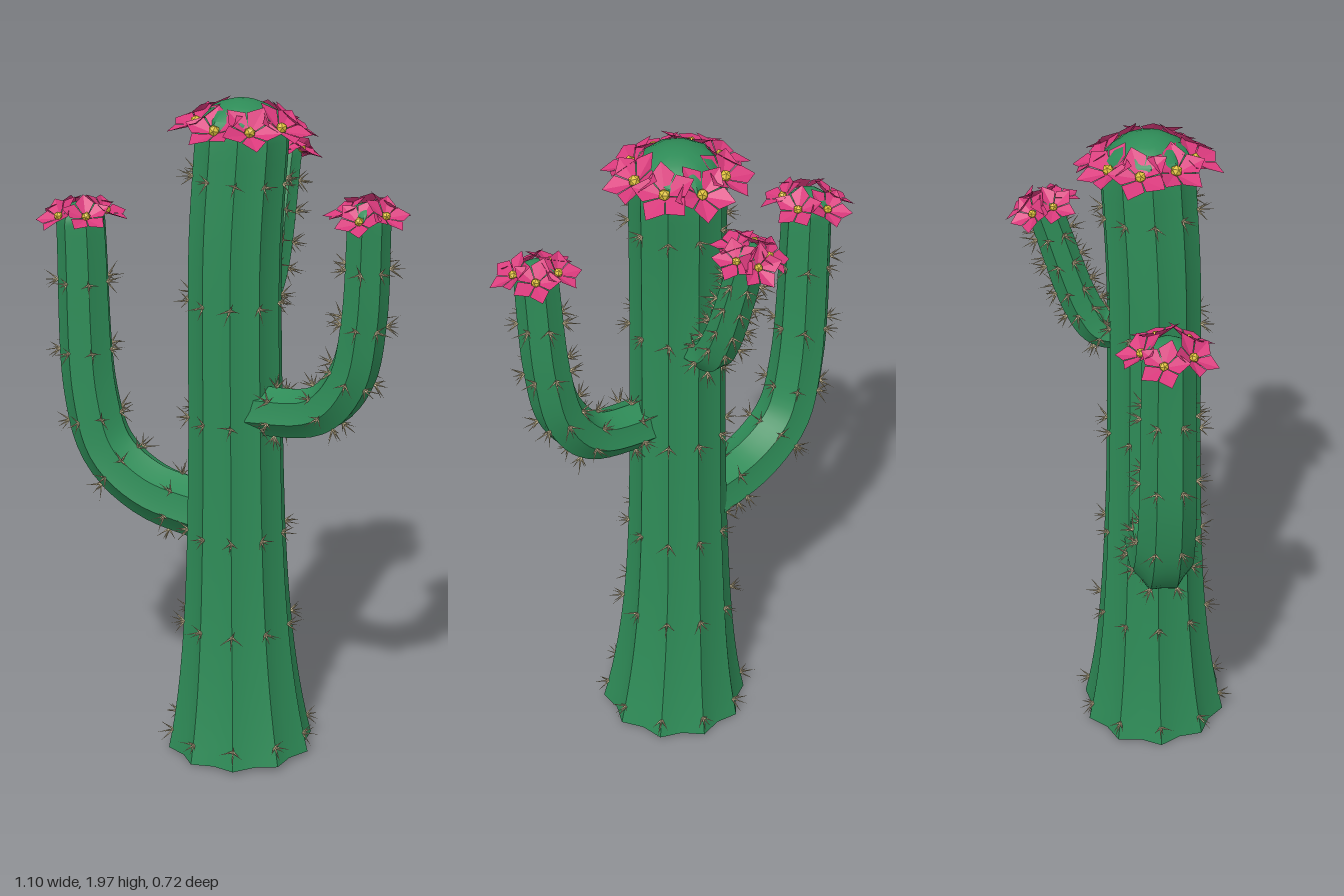
import * as THREE from 'three';
import { mergeGeometries, toCreasedNormals } from 'three/addons/utils/BufferGeometryUtils.js';

const V = (x, y, z) => new THREE.Vector3(x, y, z);

const mat = (name, color, extra = {}) => {
  const m = new THREE.MeshStandardMaterial({ color, ...extra });
  m.name = name;
  return m;
};

// Small seeded random generator
let seed = 7;
const rand = () => (seed = (seed * 16807) % 2147483647) / 2147483647;
const jitter = (s) => (rand() - 0.5) * 2 * s;

// Frames carried along a curve without twisting
function makeFrames(curve, steps, ref) {
  const frames = [];
  let N = ref;
  for (let i = 0; i <= steps; i++) {
    const T = curve.getTangentAt(i / steps);
    N = N.clone().addScaledVector(T, -N.dot(T)).normalize();
    frames.push({ p: curve.getPointAt(i / steps), T, N, B: T.clone().cross(N) });
  }
  return frames;
}

const radial = (f, a) => f.N.clone().multiplyScalar(Math.cos(a)).addScaledVector(f.B, Math.sin(a));

// Ribbed stem with a star cross-section, closed by a smooth dome
function stemGeometry(frames, radius, ribs, depth, domeHeight) {
  const sides = ribs * 2, pos = [], idx = [];
  const addRing = (f, p, r, d) => {
    for (let j = 0; j < sides; j++) {
      const q = radial(f, (j / sides) * Math.PI * 2).multiplyScalar(r * (j % 2 ? 1 - d : 1)).add(p);
      pos.push(q.x, q.y, q.z);
    }
  };
  const last = frames.length - 1, end = frames[last], domeSteps = 6;
  frames.forEach((f, i) => addRing(f, f.p, radius(i / last), depth));
  for (let k = 1; k <= domeSteps; k++) {
    const a = (k / domeSteps) * Math.PI / 2;
    const p = end.p.clone().addScaledVector(end.T, Math.sin(a) * domeHeight);
    addRing(end, p, k === domeSteps ? 0 : Math.cos(a) * radius(1), depth * (1 - k / domeSteps));
  }
  const rings = last + 1 + domeSteps;
  for (let i = 0; i < rings - 1; i++) {
    for (let j = 0; j < sides; j++) {
      const a = i * sides + j, b = i * sides + (j + 1) % sides;
      idx.push(a, b, b + sides);
      if (i < rings - 2) idx.push(a, b + sides, a + sides);
    }
  }
  // flat bottom
  const c = pos.length / 3;
  pos.push(...frames[0].p.toArray());
  for (let j = 0; j < sides; j++) idx.push(c, (j + 1) % sides, j);
  const g = new THREE.BufferGeometry();
  g.setAttribute('position', new THREE.Float32BufferAttribute(pos, 3));
  g.setIndex(idx);
  return toCreasedNormals(g, 0.6);
}

// Clusters of five thin spines, at even levels along every rib
function spineGeometry(frames, radius, ribs, levels, first, step) {
  const parts = [], up = V(0, 1, 0), last = frames.length - 1;
  for (let i = 0; i < levels; i++) {
    const t = first + i * step, f = frames[Math.round(t * last)];
    for (let k = 0; k < ribs; k++) {
      const out = radial(f, (k / ribs) * Math.PI * 2);
      const side = f.T.clone().cross(out);
      const base = f.p.clone().addScaledVector(out, radius(t) * 0.98);
      for (let s = 0; s < 5; s++) {
        const a = (s / 4) * Math.PI * 2 + jitter(0.4);
        const spread = s === 4 ? 0.1 : 0.95 + jitter(0.25);
        const dir = out.clone().addScaledVector(f.T, Math.sin(a) * spread)
          .addScaledVector(side, Math.cos(a) * spread).normalize();
        const L = 0.045 + jitter(0.01);
        const g = new THREE.ConeGeometry(0.0035, L, 4, 1, true);
        g.translate(0, L / 2, 0);
        g.applyQuaternion(new THREE.Quaternion().setFromUnitVectors(up, dir));
        g.translate(base.x, base.y, base.z);
        parts.push(g);
      }
    }
  }
  return mergeGeometries(parts);
}

// Five pointed, folded petals opening around +y
function petalGeometry(L) {
  const pos = [];
  for (let k = 0; k < 5; k++) {
    const a = (k / 5) * Math.PI * 2;
    const pt = (r, w, y) => [
      (Math.cos(a) * r - Math.sin(a) * w) * L, y * L, (Math.sin(a) * r + Math.cos(a) * w) * L];
    const base = pt(0, 0, 0), tip = pt(1, 0, 0.34);
    const left = pt(0.56, -0.38, 0.3), right = pt(0.56, 0.38, 0.3);
    pos.push(...base, ...tip, ...left, ...base, ...right, ...tip);
  }
  const g = new THREE.BufferGeometry();
  g.setAttribute('position', new THREE.Float32BufferAttribute(pos, 3));
  g.computeVertexNormals();
  return g;
}

export function createModel() {
  seed = 7;
  const green = mat('cactus green', 0x2e8b57);
  const cream = mat('spine cream', 0xd2c29b);
  const pink = mat('petal pink', 0xd93a7c, { side: THREE.DoubleSide });
  const yellow = mat('flower centre yellow', 0xe0c23c, { flatShading: true });

  const model = new THREE.Group();
  model.name = 'cactus';

  // Crown of flowers leaning outward around the dome
  function addFlowers(part, end, r, count) {
    const size = 0.052 + r * 0.27;
    const petals = petalGeometry(size);
    const centre = new THREE.IcosahedronGeometry(size * 0.19, 0);
    for (let k = 0; k < count; k++) {
      const out = radial(end, ((k + 0.3) / count) * Math.PI * 2);
      const axis = out.clone().multiplyScalar(0.65 + jitter(0.1)).add(end.T).normalize();
      const flower = new THREE.Group();
      flower.name = 'flower';
      flower.position.copy(end.p).addScaledVector(out, r * 0.93)
        .addScaledVector(end.T, r * 0.2 + jitter(0.008));
      flower.quaternion.setFromUnitVectors(V(0, 1, 0), axis);
      const bloom = new THREE.Mesh(petals, pink);
      bloom.name = 'petals';
      bloom.rotation.y = rand() * 6;
      const heart = new THREE.Mesh(centre, yellow);
      heart.name = 'flowerCentre';
      heart.position.y = size * 0.14;
      flower.add(bloom, heart);
      part.add(flower);
    }
  }

  // One stem with its spines and flowers
  function addStem(name, points, radius, { ribs, depth, ref, levels, first, step, flowers }) {
    const part = new THREE.Group();
    part.name = name;
    const frames = makeFrames(new THREE.CatmullRomCurve3(points), 32, ref);
    const stem = new THREE.Mesh(stemGeometry(frames, radius, ribs, depth, radius(1) * 0.78), green);
    stem.name = name + 'Stem';
    const spines = new THREE.Mesh(spineGeometry(frames, radius, ribs, levels, first, step), cream);
    spines.name = name + 'Spines';
    part.add(stem, spines);
    addFlowers(part, frames[frames.length - 1], radius(1), flowers);
    model.add(part);
  }

  // Trunk, flaring toward the ground
  addStem('trunk',
    [V(0.065, 0, 0.03), V(0.054, 0.45, 0.022), V(0.048, 1, 0.022), V(0.046, 1.55, 0.02), V(0.063, 1.86, 0.01)],
    (t) => 0.134 + 0.086 * Math.exp(-5 * t),
    { ribs: 10, depth: 0.11, ref: V(0, 0, 1), levels: 6, first: 0.03, step: 0.18, flowers: 8 });

  // Arms, bending up from the trunk and tapering slightly
  const armStyle = { ribs: 7, depth: 0.13, ref: V(0, 1, 0), levels: 5, first: 0.13, step: 0.175, flowers: 5 };
  const taper = (from, to) => (t) => from + (to - from) * t;
  addStem('rightArm',
    [V(0, 0.72, 0), V(-0.22, 0.765, -0.08), V(-0.345, 0.865, -0.125),
      V(-0.398, 1.04, -0.14), V(-0.42, 1.56, -0.147)],
    taper(0.092, 0.074), armStyle);
  addStem('leftArm',
    [V(0.08, 1.075, 0.06), V(0.3, 1.115, 0.16), V(0.385, 1.225, 0.2),
      V(0.418, 1.4, 0.22), V(0.428, 1.69, 0.235)],
    taper(0.074, 0.062), armStyle);
  addStem('backArm',
    [V(0.085, 1.36, -0.06), V(0.11, 1.375, -0.12), V(0.13, 1.45, -0.165), V(0.16, 1.75, -0.257)],
    taper(0.058, 0.05), armStyle);
  return model;
}
